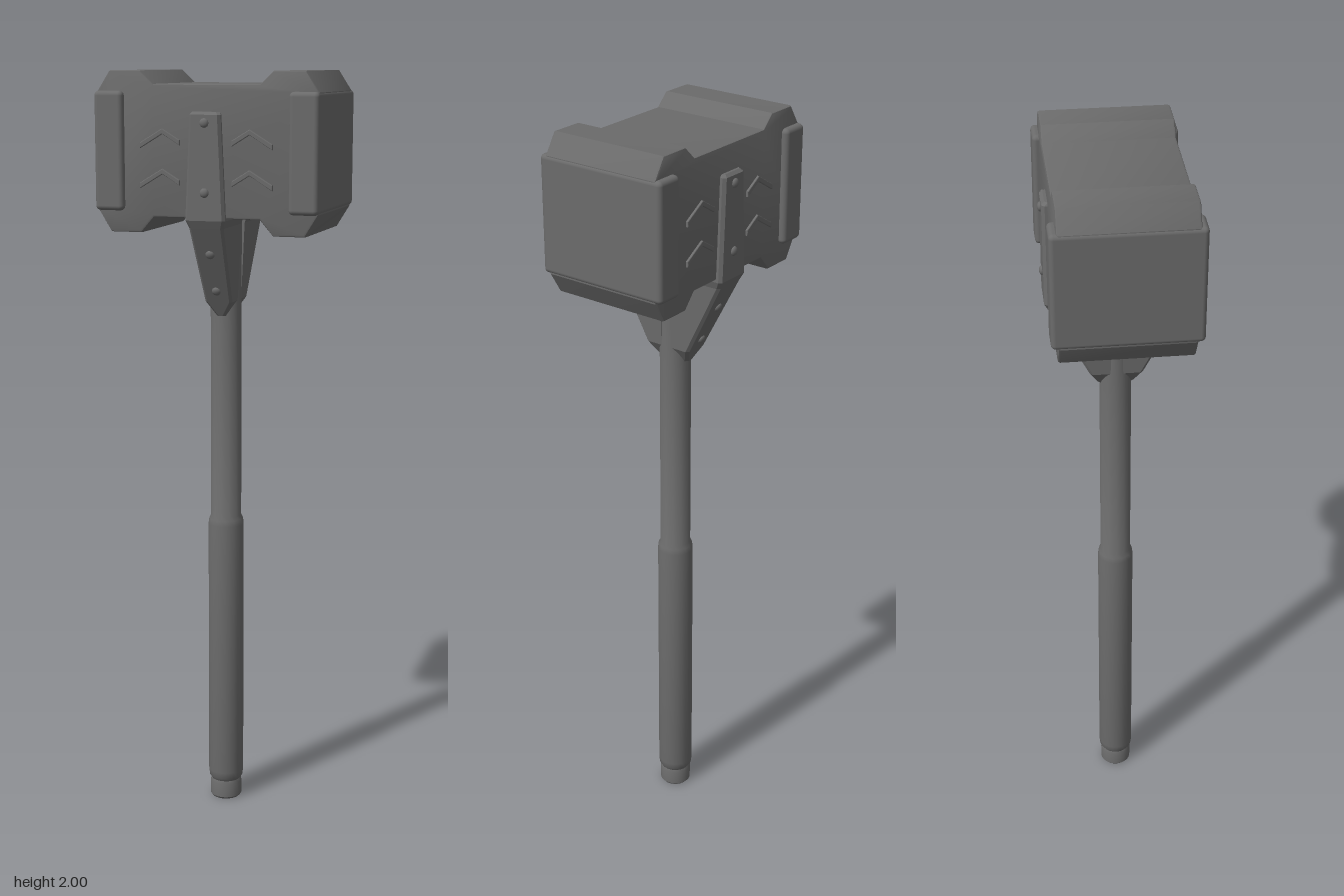
import * as THREE from 'three';
import { RoundedBoxGeometry } from 'three/addons/geometries/RoundedBoxGeometry.js';
import { toCreasedNormals } from 'three/addons/utils/BufferGeometryUtils.js';

const iron = new THREE.MeshStandardMaterial({ color: 0x6b6b6b });
iron.name = 'iron grey';

function add(parent, name, geometry, x = 0, y = 0, z = 0) {
  const mesh = new THREE.Mesh(geometry, iron);
  mesh.name = name;
  mesh.position.set(x, y, z);
  parent.add(mesh);
  return mesh;
}

// Extrudes an outline along z with a small bevel that stays inside the outline
function plate(points, depth, bevel) {
  const shape = new THREE.Shape(points.map(([x, y]) => new THREE.Vector2(x, y)));
  const geometry = new THREE.ExtrudeGeometry(shape, {
    depth: depth - 2 * bevel, bevelEnabled: bevel > 0, bevelThickness: bevel,
    bevelSize: bevel, bevelOffset: -bevel, bevelSegments: 2,
  });
  geometry.translate(0, 0, bevel - depth / 2);
  return geometry;
}

// Strap and gusset: chamfered cross-sections stacked from top to bottom
function bracketGeometry() {
  const rows = [ // y, outer z, half width
    [1.9, 0.172, 0.036], [1.893, 0.18, 0.041], [1.63, 0.18, 0.053],
    [1.61, 0.17, 0.046], [1.41, 0.068, 0.037], [1.37, 0.047, 0.012],
  ];
  const sections = rows.map(([y, z, w]) => [
    [-w, y, 0.015], [-w, y, z - 0.008], [-w + 0.007, y, z],
    [w - 0.007, y, z], [w, y, z - 0.008], [w, y, 0.015],
  ]);
  const positions = [];
  const tri = (a, b, c) => positions.push(...a, ...b, ...c);
  for (let r = 0; r < sections.length - 1; r++) {
    const top = sections[r], low = sections[r + 1];
    for (let i = 0; i < 6; i++) {
      const j = (i + 1) % 6;
      tri(top[i], low[i], low[j]);
      tri(top[i], low[j], top[j]);
    }
  }
  const first = sections[0], last = sections[sections.length - 1];
  for (let i = 1; i < 5; i++) {
    tri(first[0], first[i], first[i + 1]);
    tri(last[0], last[i + 1], last[i]);
  }
  const geometry = new THREE.BufferGeometry();
  geometry.setAttribute('position', new THREE.Float32BufferAttribute(positions, 3));
  geometry.computeVertexNormals();
  return geometry;
}

export function createModel() {
  const model = new THREE.Group();
  model.name = 'warHammer';

  // Handle: pommel, thicker grip and upper shaft in one turned profile
  const profile = [
    [0, 0], [0.038, 0], [0.043, 0.006], [0.043, 0.045], [0.04, 0.053], [0.046, 0.062],
    [0.048, 0.08], [0.048, 0.795], [0.046, 0.81], [0.041, 0.82], [0.041, 1.66], [0, 1.66],
  ].map(([r, y]) => new THREE.Vector2(r, y));
  add(model, 'handle', toCreasedNormals(new THREE.LatheGeometry(profile, 24), 0.6));

  // Head block with raised, chamfered ends
  const right = [
    [0.14, 1.635], [0.175, 1.595], [0.258, 1.595], [0.292, 1.65],
    [0.292, 1.948], [0.258, 2], [0.175, 2], [0.14, 1.967],
  ];
  const left = right.map(([x, y]) => [-x, y]).reverse();
  add(model, 'headBlock', toCreasedNormals(plate([...right, ...left], 0.33, 0.006), 0.5));

  // Striking faces that wrap round both ends
  for (const s of [-1, 1]) {
    add(model, s > 0 ? 'leftStrikingFace' : 'rightStrikingFace',
      new RoundedBoxGeometry(0.077, 0.3, 0.364, 3, 0.012), s * 0.2565, 1.8, 0);
  }

  // Front fittings, repeated on the back by a half turn
  const bracket = bracketGeometry();
  const chevron = plate([
    [-0.053, -0.024], [0.007, 0.012], [0.053, -0.016],
    [0.053, -0.002], [0.007, 0.026], [-0.053, -0.01],
  ], 0.014, 0.002);
  const rivet = new THREE.SphereGeometry(0.012, 12, 8);
  const slope = Math.atan2(0.102, 0.2);
  for (const side of ['front', 'back']) {
    const fittings = new THREE.Group();
    fittings.name = side + 'Fittings';
    fittings.rotation.y = side === 'back' ? Math.PI : 0;
    add(fittings, 'strapBracket', bracket);

    // Chevron ridges mirrored about the strap
    for (const y of [1.832, 1.732]) {
      add(fittings, 'chevron', chevron, -0.122, y, 0.164);
      const mirrored = chevron.clone().rotateY(Math.PI);
      add(fittings, 'chevron', mirrored, 0.122, y, 0.164);
    }

    // Rivets on the strap and down the sloping gusset
    for (const [y, z, tilt] of [[1.873, 0.18, 0], [1.7, 0.18, 0], [1.54, 0.134, slope], [1.44, 0.083, slope]]) {
      const head = add(fittings, 'rivet', rivet, 0, y, z);
      head.scale.z = 0.65;
      head.rotation.x = tilt;
    }
    model.add(fittings);
  }
  return model;
}
